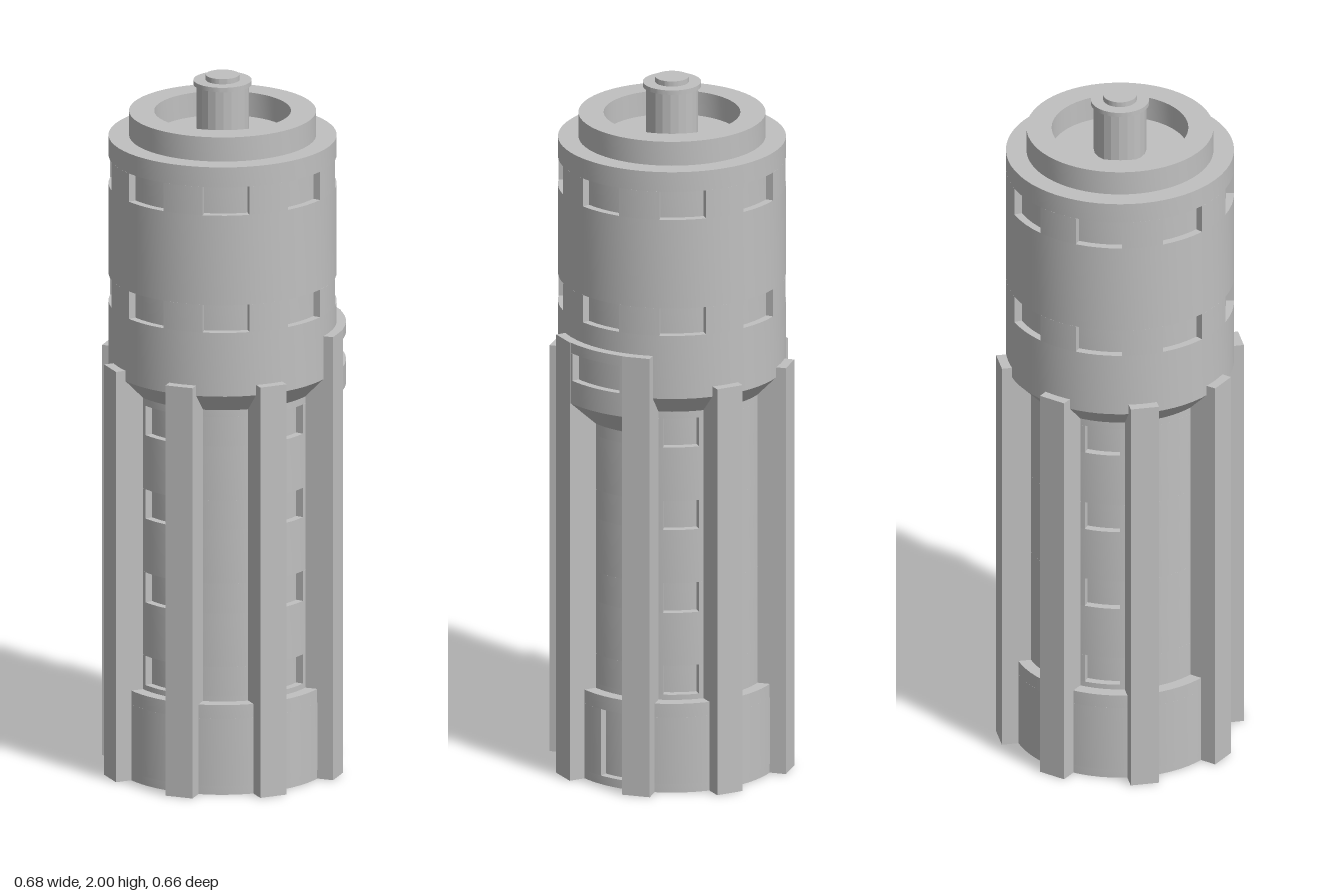
import * as THREE from 'three';
import { toCreasedNormals } from 'three/addons/utils/BufferGeometryUtils.js';

const EIGHTH = Math.PI / 4;
const stone = new THREE.MeshStandardMaterial({ color: 0xc0c0c0 });
stone.name = 'pale grey';

export function createModel() {
  const model = new THREE.Group();
  model.name = 'tower';
  const tower = new THREE.Group();
  tower.name = 'towerBody';
  tower.position.x = -0.006;
  model.add(tower);

  function add(name, geometry) {
    const mesh = new THREE.Mesh(toCreasedNormals(geometry, 0.5), stone);
    mesh.name = name;
    tower.add(mesh);
    return mesh;
  }

  // Turned part from [radius, height] pairs, bottom to top
  function turned(name, profile, start = 0, length = Math.PI * 2, segments = 64) {
    const points = profile.map(([r, y]) => new THREE.Vector2(r, y));
    return add(name, new THREE.LatheGeometry(points, segments, start, length));
  }

  // Curved wall block between two angles, measured from +x towards -z
  function wallBlock(name, rIn, rOut, a0, a1, y0, y1) {
    const shape = new THREE.Shape();
    shape.absarc(0, 0, rOut, a0, a1, false);
    shape.absarc(0, 0, rIn, a1, a0, true);
    const geo = new THREE.ExtrudeGeometry(shape, {
      depth: y1 - y0, bevelEnabled: false,
      curveSegments: Math.max(4, Math.ceil((a1 - a0) * 12)),
    });
    geo.rotateX(-Math.PI / 2);
    geo.translate(0, y0, 0);
    add(name, geo);
  }

  // Profile points for a groove cut into a wall of radius r
  const groove = (r, depth, y0, y1) => [[r, y0], [r - depth, y0], [r - depth, y1], [r, y1]];
  const DEPTH = 0.022;

  // Base collar with a recessed door on the +x side
  const R_BASE = 0.299;
  turned('baseCollar', [[0, 0], [R_BASE, 0], ...groove(R_BASE, DEPTH, 0.025, 0.22),
    [R_BASE, 0.26], [0.25, 0.26]]);
  wallBlock('baseWall', R_BASE - DEPTH - 0.005, R_BASE, 0.254, Math.PI * 2 - 0.033, 0.025, 0.22);

  // Slim shaft with four rows of windows on the diagonals
  const R_SHAFT = 0.264;
  const shaftRows = [[0.275, 0.36], [0.515, 0.602], [0.758, 0.843], [1.0, 1.085]];
  turned('shaft', [[R_SHAFT, 0.2], ...shaftRows.flatMap(([a, b]) => groove(R_SHAFT, DEPTH, a, b)),
    [R_SHAFT, 1.105]]);
  for (const [y0, y1] of shaftRows) {
    for (let i = 0; i < 4; i++) {
      const a = (i * 2 - 1) * EIGHTH;
      wallBlock('shaftWall', R_SHAFT - DEPTH - 0.005, R_SHAFT, a + 0.19, a + EIGHTH * 2 - 0.19, y0, y1);
    }
  }

  // Wide upper drum, flared below, with two rows of eight windows
  const R_DRUM = 0.317;
  const drumRows = [[1.345, 1.425], [1.685, 1.767]];
  turned('upperDrum', [[R_SHAFT, 1.105], [R_DRUM, 1.16],
    ...drumRows.flatMap(([a, b]) => groove(R_DRUM, DEPTH, a, b)),
    [R_DRUM, 1.825], [0, 1.825]]);
  for (const [y0, y1] of drumRows) {
    for (let i = 0; i < 8; i++) {
      const a = i * EIGHTH;
      wallBlock('drumWall', R_DRUM - DEPTH - 0.005, R_DRUM, a + 0.207, a + EIGHTH - 0.207, y0, y1);
    }
  }

  // Roof rim and central post
  turned('roofRim', [[0.26, 1.82], [0.26, 1.895], [0.19, 1.895], [0.19, 1.82]]);
  const post = new THREE.CylinderGeometry(0.073, 0.073, 0.155, 20).toNonIndexed();
  post.computeVertexNormals();
  post.translate(0, 1.8975, 0);
  const postMesh = new THREE.Mesh(post, stone);
  postMesh.name = 'roofPost';
  tower.add(postMesh);
  turned('postCap', [[0, 1.972], [0.081, 1.972], [0.081, 1.985], [0.047, 1.985], [0.047, 2.0], [0, 2.0]]);

  // Eight buttresses; the pair beside the portal is taller
  const R_OUT = 0.343, R_IN = 0.23;
  for (let i = 0; i < 8; i++) {
    const h = i === 0 || i === 7 ? 1.285 : 1.19;
    const geo = new THREE.BoxGeometry(R_OUT - R_IN, h, 0.08);
    geo.translate((R_OUT + R_IN) / 2, h / 2, 0);
    geo.rotateY((i + 0.5) * EIGHTH);
    add('buttress', geo);
  }

  // Portal head bridging the tall pair, with one wide window
  turned('portalHead', [[R_SHAFT - 0.01, 1.025], [R_OUT, 1.107],
    ...groove(R_OUT, DEPTH, 1.175, 1.255), [R_OUT, 1.285], [0.3, 1.285]],
    Math.PI / 2 - EIGHTH / 2, EIGHTH, 12);
  for (const [a0, a1] of [[0.25, EIGHTH / 2], [-EIGHTH / 2, -0.25]]) {
    wallBlock('portalWall', R_OUT - DEPTH - 0.005, R_OUT, a0, a1, 1.175, 1.255);
  }

  return model;
}
